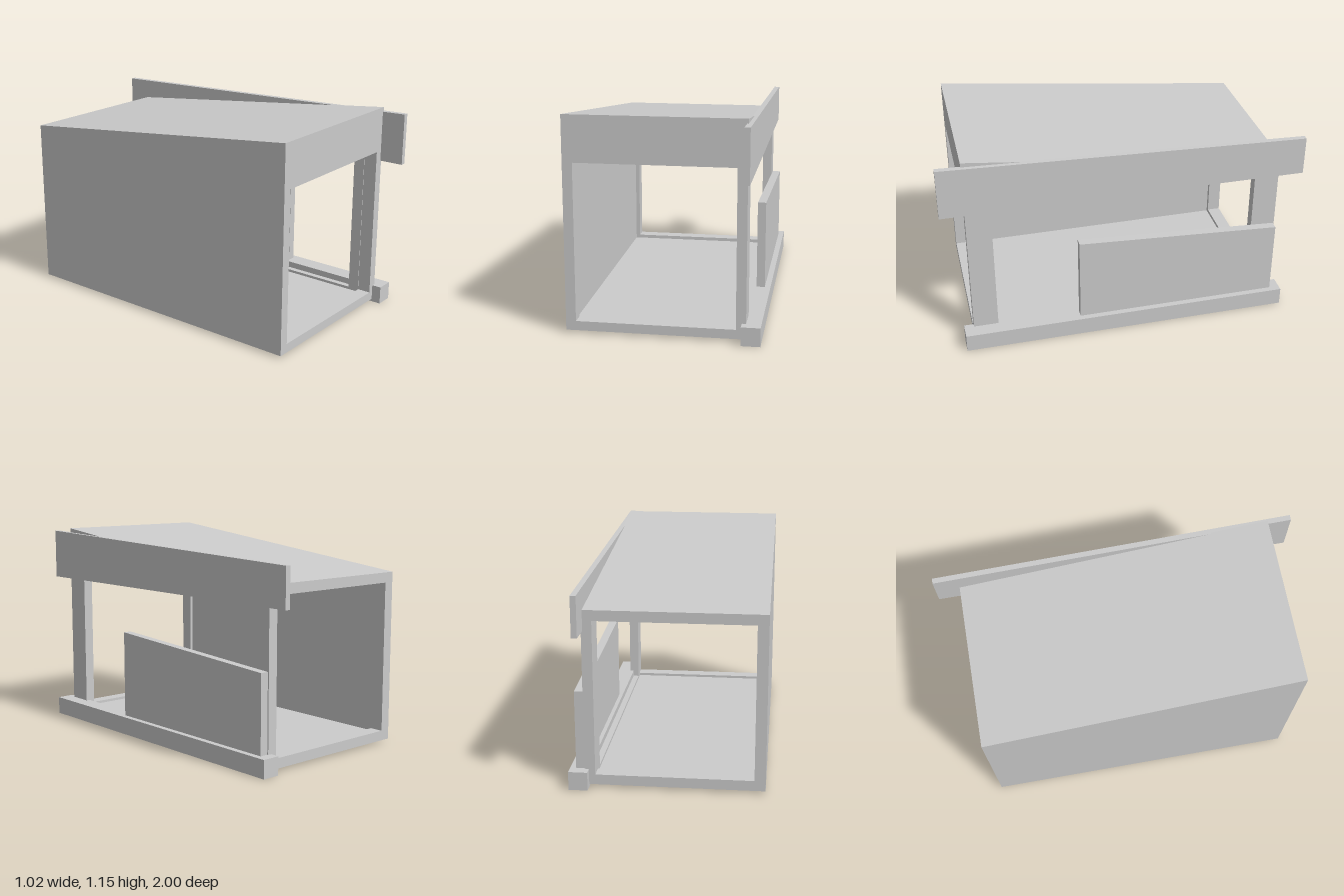
import * as THREE from 'three';

const material = new THREE.MeshStandardMaterial({ color: 0xcccccc, flatShading: true });

// Closed outline from [a, b] pairs
const outline = (pts, Type = THREE.Shape) => new Type(pts.map(([a, b]) => new THREE.Vector2(a, b)));
const rect = (a0, b0, a1, b1) => [[a0, b0], [a1, b0], [a1, b1], [a0, b1]];

export function createModel() {
  const model = new THREE.Group();

  const add = (name, geometry) => {
    const mesh = new THREE.Mesh(geometry, material);
    mesh.name = name;
    model.add(mesh);
  };

  const extrude = (pts, hole, depth) => {
    const shape = outline(pts);
    if (hole) shape.holes.push(outline(hole, THREE.Path));
    return new THREE.ExtrudeGeometry(shape, { depth, bevelEnabled: false });
  };

  // Side profile in (z, y), running from x0 to x1
  const addSide = (name, x0, x1, pts, hole) =>
    add(name, extrude(pts, hole, x1 - x0).rotateY(-Math.PI / 2).translate(x1, 0, 0));

  // Front profile in (x, y), running from z0 to z1
  const addFront = (name, z0, z1, pts, hole) =>
    add(name, extrude(pts, hole, z1 - z0).translate(0, 0, z0));

  const left = -0.51, right = 0.43, bottom = 0.015, end = 0.867;
  const skin = 0.035, frame = 0.075;
  const roofY = z => 1.053 + 0.112 * z;
  const inner = end - frame;

  // Sloping hollow body between the two end frames
  const bodySide = [[-inner, bottom], [inner, bottom], [inner, roofY(inner)], [-inner, roofY(-inner)]];
  addSide('closedWall', left, left + skin, bodySide);
  addSide('openWall', right - 0.055, right, bodySide, rect(-0.73, 0.065, 0.73, 0.9));
  addSide('floor', left + skin, right - 0.055, rect(-inner, bottom, inner, bottom + skin));
  addSide('roof', left + skin, right - 0.055, [
    [-inner, roofY(-inner) - skin], [inner, roofY(inner) - skin],
    [inner, roofY(inner)], [-inner, roofY(-inner)],
  ]);

  // End frames, their tops following the roof slope
  const addFrame = (name, z0, z1, hole) => {
    addFront(name, z0, z1, rect(left, bottom, right, roofY(z0)), hole);
    const geometry = model.children.at(-1).geometry;
    const p = geometry.attributes.position;
    for (let i = 0; i < p.count; i++)
      if (p.getY(i) > roofY(z0) - 0.001) p.setY(i, roofY(p.getZ(i)));
    geometry.computeVertexNormals();
  };
  addFrame('frontFrame', inner, end, rect(-0.457, 0.065, 0.378, 0.905));
  addFrame('backFrame', -end, -inner, rect(-0.452, 0.07, 0.375, 0.9));

  // Sill, sliding door and top rail on the open side
  addSide('sill', 0.408, 0.508, rect(-0.917, 0, 0.92, 0.1));
  addSide('slidingDoor', 0.43, 0.476, [[-0.86, 0.1], [0.27, 0.1], [0.27, 0.587], [-0.86, 0.523]]);
  addSide('topRail', 0.422, 0.452, [[-1, 0.847], [1, 0.847], [1, 1.13], [-1, 1.062]]);

  return model;
}
